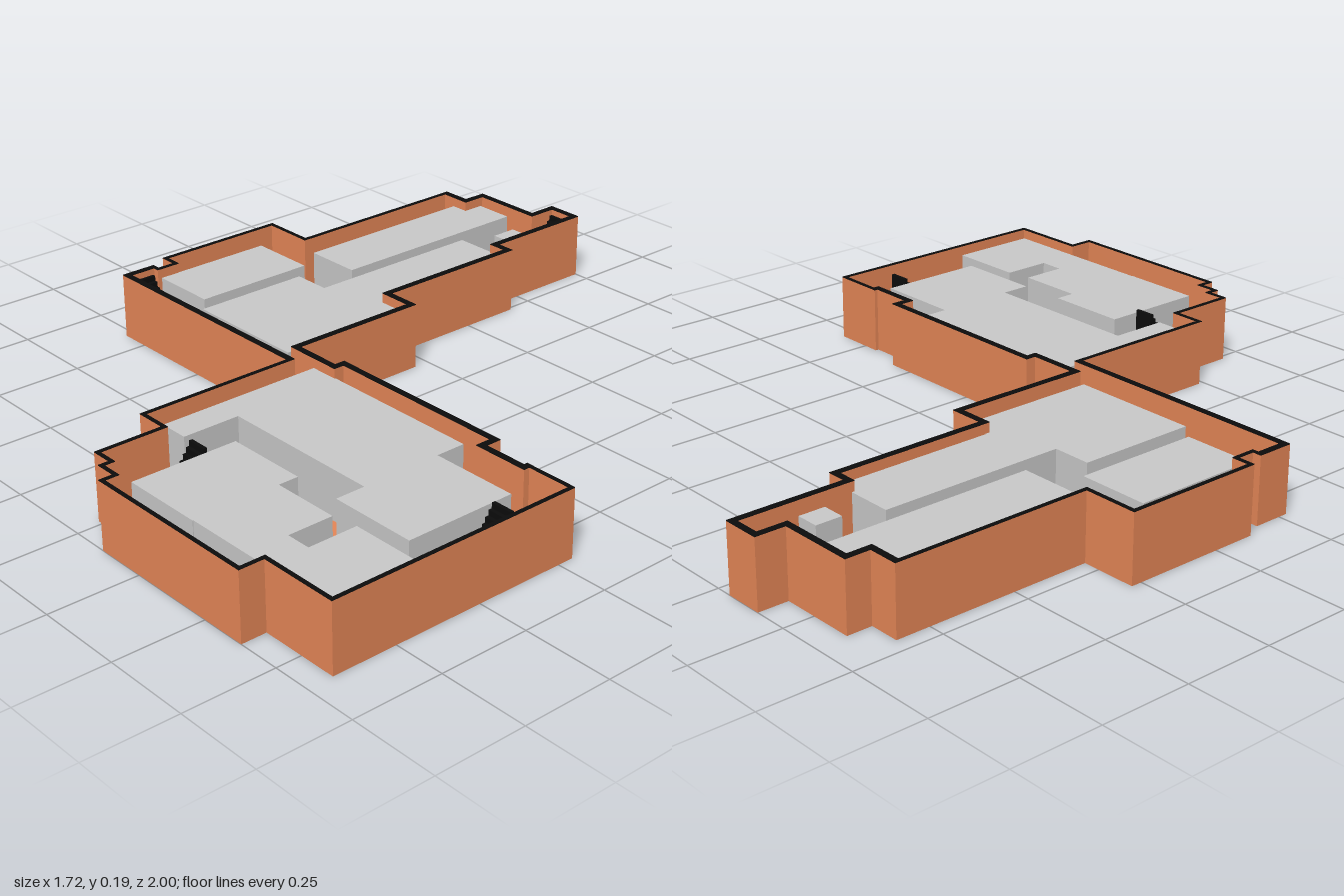
import * as THREE from 'three';

const ORANGE = new THREE.MeshStandardMaterial({ color: 0xe88858, flatShading: true });
const GREY = new THREE.MeshStandardMaterial({ color: 0xcccccc, flatShading: true });
const BLACK = new THREE.MeshStandardMaterial({ color: 0x0c0c0c, flatShading: true });

const WALL_TOP = 0.187, FLOOR_TOP = 0.02, ROOM_TOP = 0.16;

// Plan outline of both wings as [x, z], running clockwise seen from above
const OUTLINE = [
  [-0.405, -1], [-0.295, -1], [-0.295, -0.67], [-0.24, -0.67], [-0.24, -0.205], [-0.14, -0.205],
  [-0.14, 0.2], [0, 0.2], [0, 0.17], [0.575, 0.17], [0.575, 0.215], [0.7, 0.215], [0.7, 0.205],
  [0.855, 0.205], [0.855, 0.93], [0.63, 0.93], [0.63, 1], [0.105, 1], [0.105, 0.96], [0.045, 0.96],
  [0.045, 0.93], [-0.015, 0.93], [-0.015, 0.735], [-0.105, 0.735], [-0.105, 0.275], [-0.835, 0.275],
  [-0.835, 0.17], [-0.81, 0.17], [-0.81, 0.12], [-0.86, 0.12], [-0.86, -0.28], [-0.705, -0.28],
  [-0.705, -0.845], [-0.62, -0.845], [-0.62, -0.915], [-0.405, -0.915],
];

// The northern walls and the south wall of the north wing are thicker
const wallThickness = (i) => (i < 12 || i === 24 || i === 25 || i > 31 ? 0.018 : 0.011);

const rect = (x0, z0, x1, z1) => [[x0, z0], [x1, z0], [x1, z1], [x0, z1]];

const ROOMS = {
  northWestRoom: [[-0.603, -0.89], [-0.485, -0.89], [-0.485, -0.27], [-0.655, -0.27],
    [-0.655, -0.828], [-0.603, -0.828]],
  westRoom: rect(-0.8, -0.19, -0.6, 0.168),
  northHall: [[-0.44, -0.66], [-0.26, -0.66], [-0.26, -0.2], [-0.18, -0.2], [-0.18, 0.21],
    [-0.55, 0.21], [-0.55, -0.13], [-0.44, -0.13]],
  smallRoom: rect(-0.4, -0.83, -0.335, -0.755),
  southHall: [[-0.065, 0.215], [0.495, 0.215], [0.495, 0.3], [0.745, 0.3], [0.745, 0.615],
    [0.495, 0.615], [0.495, 0.53], [0.02, 0.53], [0.02, 0.695], [-0.065, 0.695]],
  southWestRoom: rect(0.12, 0.615, 0.357, 0.92),
  southEastRoom: [[0.357, 0.672], [0.55, 0.672], [0.55, 0.8], [0.62, 0.8], [0.62, 0.66],
    [0.84, 0.66], [0.84, 0.918], [0.357, 0.918]],
};

// Moves each edge of a right-angled outline inwards by its own wall thickness
function insetOutline(points) {
  const n = points.length;
  const offset = (i) => {
    const a = points[i], b = points[(i + 1) % n], d = wallThickness(i);
    return [-d * Math.sign(b[1] - a[1]), d * Math.sign(b[0] - a[0])];
  };
  return points.map((p, i) => {
    const before = offset((i + n - 1) % n), after = offset(i);
    return [p[0] + before[0] + after[0], p[1] + before[1] + after[1]];
  });
}

const toVectors = (points) => points.map(([x, z]) => new THREE.Vector2(x, -z));

// Upright prism over a plan, optionally with a hole (wound opposite to the outside)
function prism(name, plan, y0, y1, material, hole) {
  const shape = new THREE.Shape(toVectors(plan).reverse());
  if (hole) shape.holes.push(new THREE.Path(toVectors(hole)));
  const geometry = new THREE.ExtrudeGeometry(shape, { depth: y1 - y0, bevelEnabled: false });
  geometry.rotateX(-Math.PI / 2).translate(0, y0, 0);
  const mesh = new THREE.Mesh(geometry, material);
  mesh.name = name;
  return mesh;
}

// Straight flight of steps rising along its local -z
function staircase(name, x, z, width, length, turn) {
  const stairs = new THREE.Group();
  stairs.name = name;
  const steps = 10;
  for (let i = 0; i < steps; i++) {
    const h = (ROOM_TOP + 0.01 - FLOOR_TOP) * (i + 1) / steps;
    const step = new THREE.Mesh(new THREE.BoxGeometry(width, h, length / steps), BLACK);
    step.name = 'step';
    step.position.set(0, FLOOR_TOP + h / 2, length / 2 - (i + 0.5) * length / steps);
    stairs.add(step);
  }
  stairs.position.set(x, 0, z);
  stairs.rotation.y = turn;
  return stairs;
}

export function createModel() {
  const model = new THREE.Group();
  model.name = 'building';

  // Shell: floor slab, perimeter wall and its dark coping
  const inner = insetOutline(OUTLINE);
  model.add(prism('floor', inner, 0, FLOOR_TOP, ORANGE));
  model.add(prism('outerWall', OUTLINE, 0, WALL_TOP, ORANGE, inner));
  model.add(prism('wallCoping', OUTLINE, WALL_TOP, WALL_TOP + 0.002, BLACK, inner));

  // Room blocks
  for (const [name, plan] of Object.entries(ROOMS)) {
    model.add(prism(name, plan, FLOOR_TOP, ROOM_TOP, GREY));
  }

  // Stairs
  model.add(staircase('northStairs', -0.357, -0.932, 0.062, 0.1, 0));
  model.add(staircase('westStairs', -0.765, 0.217, 0.06, 0.1, Math.PI / 2));
  model.add(staircase('eastStairs', 0.787, 0.413, 0.062, 0.1, 0));
  model.add(staircase('southStairs', 0.087, 0.748, 0.058, 0.1, 0));

  return model;
}
